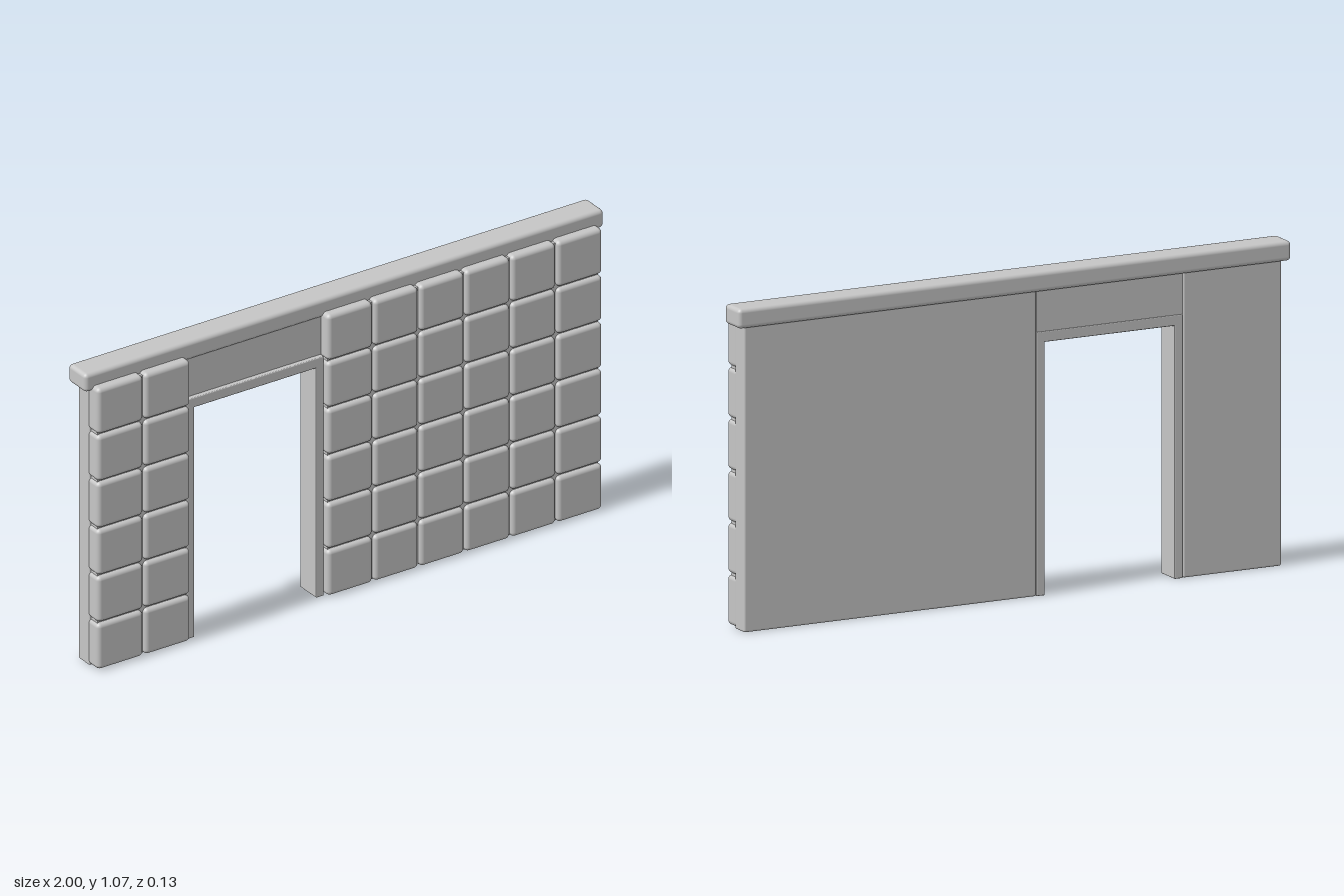
import * as THREE from 'three';
import { RoundedBoxGeometry } from 'three/addons/geometries/RoundedBoxGeometry.js';

export function createModel() {
  const model = new THREE.Group();
  model.name = 'tiledWallWithDoorway';
  const stone = new THREE.MeshStandardMaterial({ color: 0xc6c6c6 });
  stone.name = 'light grey stone';

  // Block given by its extents; radius 0 keeps sharp edges
  function block(name, [x0, x1], [y0, y1], [z0, z1], radius = 0, parent = model) {
    const size = [x1 - x0, y1 - y0, z1 - z0];
    const geometry = radius
      ? new RoundedBoxGeometry(...size, 3, radius)
      : new THREE.BoxGeometry(...size);
    const mesh = new THREE.Mesh(geometry, stone);
    mesh.position.set((x0 + x1) / 2, (y0 + y1) / 2, (z0 + z1) / 2);
    mesh.name = name;
    parent.add(mesh);
  }

  // Wall section faced with a grid of cushioned tiles over a grout bed
  const rows = 6, pitchY = 0.17, gap = 0.003;
  function wallSection(name, x0, x1, columns) {
    const section = new THREE.Group();
    section.name = name;
    model.add(section);
    block('wallCore', [x0 + 0.001, x1 - 0.001], [0, 1.02], [-0.05, 0.015], 0.007, section);
    block('groutBed', [x0 + 0.008, x1 - 0.008], [0.01, 1.01], [0, 0.05], 0, section);
    const pitchX = (x1 - x0) / columns;
    for (let c = 0; c < columns; c++) {
      for (let r = 0; r < rows; r++) {
        const x = x0 + c * pitchX, y = 0.002 + r * pitchY;
        block('tile', [x + gap * (c > 0), x + pitchX - gap * (c < columns - 1)],
          [y + gap, y + pitchY - gap], [0.004, 0.066], 0.015, section);
      }
    }
  }
  wallSection('rightWall', -0.973, -0.615, 2);
  wallSection('leftWall', -0.086, 0.973, 6);

  // Door frame and the plain panel above it
  const frameZ = [-0.05, 0.042];
  block('rightJamb', [-0.615, -0.585], [0, 0.865], frameZ, 0.003);
  block('leftJamb', [-0.116, -0.086], [0, 0.865], frameZ, 0.003);
  block('frameHead', [-0.615, -0.086], [0.83, 0.865], frameZ, 0.003);
  block('lintelPanel', [-0.615, -0.086], [0.86, 1.02], [-0.048, 0.025]);

  // Coping along the top
  block('coping', [-1, 1], [1, 1.065], [-0.066, 0.033], 0.014);
  return model;
}
